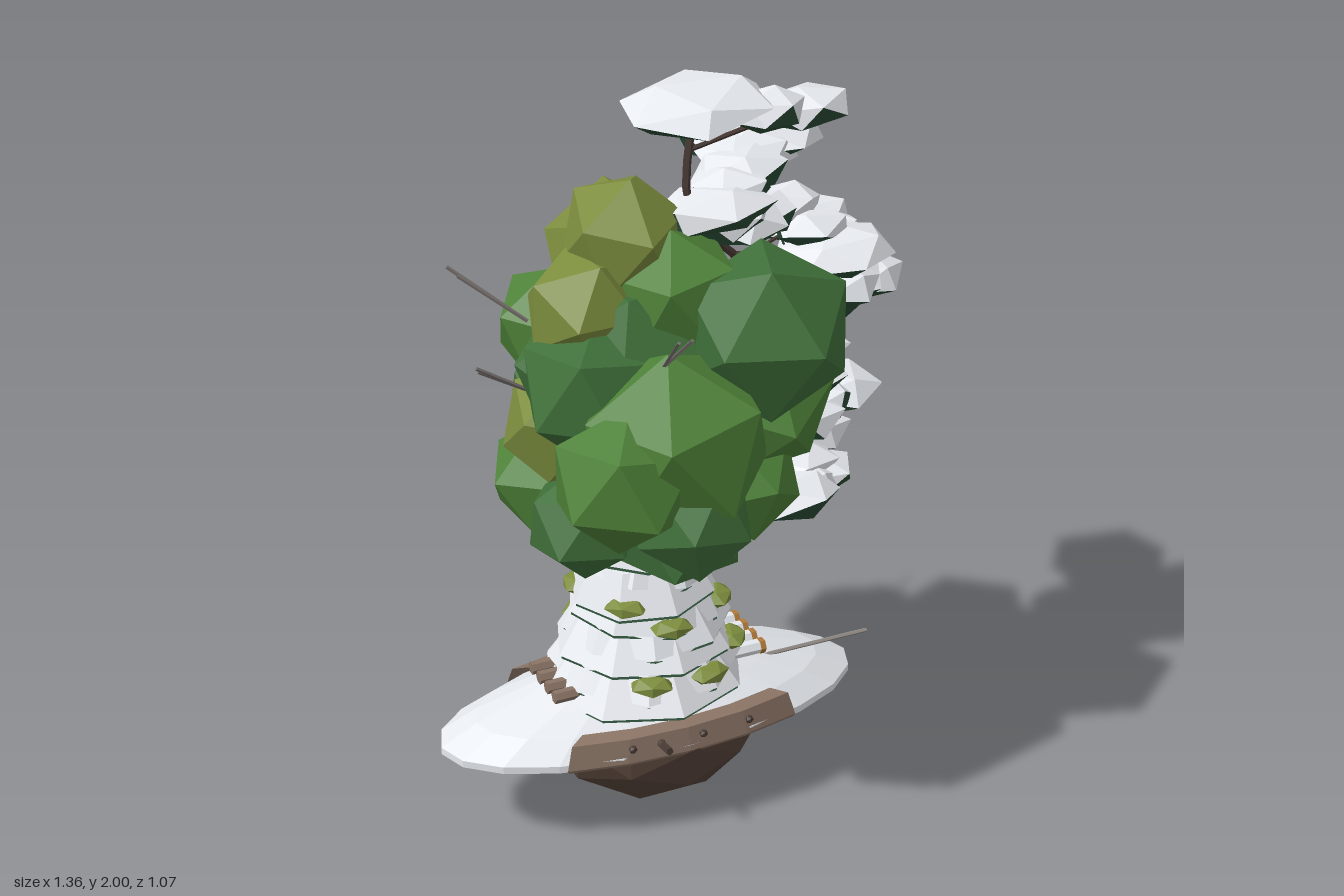
import * as THREE from 'three';

const V = (x, y, z) => new THREE.Vector3(x, y, z);
const mat = (color) => new THREE.MeshStandardMaterial({ color, flatShading: true, side: THREE.DoubleSide });
const M = {
  snow: mat(0xe6e9ee), pine: mat(0x2a4a35), green: mat(0x4f8239), dark: mat(0x40703a), olive: mat(0x7c8d3e),
  soil: mat(0x56443a), band: mat(0x8b7566), wood: mat(0x4a3b36), twig: mat(0x77706e), metal: mat(0x968f8b), amber: mat(0xb07a3c),
};

// Small seeded generator for natural variation
function seeded(seed) {
  let s = seed;
  return () => (s = (s * 16807) % 2147483647) / 2147483647;
}

// Flattened faceted pad: faces pointing up carry snow (material 0), the rest needles (material 1)
function padGeometry(w, h, d, rx, ry, rz) {
  const geo = new THREE.IcosahedronGeometry(1, 0);
  geo.rotateX(rx).rotateZ(rz).rotateY(ry).scale(w, h, d);
  const p = geo.attributes.position;
  const [a, b, c] = [V(), V(), V()];
  for (let i = 0; i < p.count; i += 3) {
    [a, b, c].forEach((v, k) => v.fromBufferAttribute(p, i + k));
    const up = b.sub(a).cross(c.sub(a)).y > 0;
    geo.addGroup(i, 3, up ? 0 : 1);
  }
  geo.computeVertexNormals();
  return geo;
}

export function createModel() {
  const root = new THREE.Group();
  const rand = seeded(4217);
  const vary = (a) => (rand() * 2 - 1) * a;

  const add = (name, geo, material, x = 0, y = 0, z = 0, parent = root) => {
    const mesh = new THREE.Mesh(geo, material);
    mesh.name = name;
    mesh.position.set(x, y, z);
    parent.add(mesh);
    return mesh;
  };
  const lathe = (pts, seg, start = 0, len = Math.PI * 2) =>
    new THREE.LatheGeometry(pts.map(([r, y]) => new THREE.Vector2(r, y)), seg, start, len);
  const rod = (name, a, b, r, material, sides = 5) => {
    const mesh = add(name, new THREE.CylinderGeometry(r, r, a.distanceTo(b), sides), material);
    mesh.position.copy(a).lerp(b, 0.5);
    mesh.quaternion.setFromUnitVectors(V(0, 1, 0), b.clone().sub(a).normalize());
  };

  // Rounded faceted base: the upper half is flattened
  const hull = new THREE.IcosahedronGeometry(1, 1);
  const hp = hull.attributes.position;
  for (let i = 0; i < hp.count; i++) hp.setY(i, Math.min(hp.getY(i), 0));
  add('base', hull, M.soil, -0.07, 0.26, 0).scale.set(0.32, 0.26, 0.27);

  // Oval rim plate
  const plate = new THREE.Group();
  plate.name = 'plate';
  plate.position.x = -0.08;
  plate.scale.z = 0.44;
  root.add(plate);
  add('plateTop', lathe([[0.6, 0.255], [0.6, 0.275], [0.5, 0.325], [0.36, 0.37], [0.28, 0.395], [0, 0.4]], 20), M.snow, 0, 0, 0, plate);
  add('plateUnderside', lathe([[0.6, 0.255], [0.4, 0.25], [0, 0.25]], 20), M.metal, 0, 0, 0, plate);
  for (const side of [0, Math.PI]) {
    add('sideBand', lathe([[0.6, 0.252], [0.607, 0.26], [0.575, 0.325], [0.5, 0.335]], 4, side - 0.58, 1.16), M.band, 0, 0, 0, plate);
  }

  // Rivets along both bands
  for (const s of [1, -1]) {
    for (const x of [-0.24, -0.16, -0.04, 0.1]) {
      const z = s * 0.262 * Math.sqrt(1 - ((x + 0.08) / 0.62) ** 2);
      add('rivet', new THREE.IcosahedronGeometry(0.012, 0), M.wood, x, 0.3, z);
    }
  }
  rod('sideStub', V(-0.16, 0.295, 0.24), V(-0.16, 0.305, 0.31), 0.011, M.wood);

  // Rows of short pipes at both ends, and one long pole
  for (const z of [-0.08, -0.027, 0.027, 0.08]) {
    rod('pipe', V(0.08, 0.405, z), V(0.215, 0.405, z), 0.02, M.snow, 6);
    rod('pipeEnd', V(0.21, 0.405, z), V(0.225, 0.405, z), 0.022, M.amber, 6);
    rod('pipe', V(-0.26, 0.4, z), V(-0.39, 0.4, z), 0.018, M.band, 6);
  }
  rod('pole', V(0.15, 0.365, 0.07), V(0.55, 0.365, 0.07), 0.006, M.metal);

  // Trunk of stacked, uneven skirts with dark undersides
  for (let i = 0; i < 9; i++) {
    const y = 0.375 + 0.045 * i + 0.0018 * i * i;
    const r = 0.28 - 0.019 * i + 0.0006 * i * i;
    const tier = new THREE.Group();
    tier.name = 'trunkTier';
    tier.position.set(-0.09 + vary(0.012), y, vary(0.012));
    tier.rotation.set(vary(0.08), rand() * 6, vary(0.08), 'ZXY');
    root.add(tier);
    add('snowSkirt', lathe([[r, 0], [r * 0.72, 0.11], [0, 0.11]], 8), M.snow, 0, 0, 0, tier);
    add('skirtUnderside', new THREE.ConeGeometry(r * 0.98, 0.02, 8), M.pine, 0, 0, 0, tier);
  }
  // One drooping skirt flap at the back
  add('skirtFlap', new THREE.ConeGeometry(0.09, 0.13, 4), M.snow, -0.09, 0.45, -0.22);

  // Moss tufts around the trunk: angle, height, distance
  for (const [a, y, r] of [[-0.35, 0.455, 0.23], [0.4, 0.45, 0.23], [-0.05, 0.6, 0.19], [-0.7, 0.66, 0.18],
    [1.1, 0.6, 0.19], [2.2, 0.6, 0.19], [1.2, 0.46, 0.23], [3.6, 0.47, 0.23], [4.2, 0.63, 0.18]]) {
    const tuft = add('moss', new THREE.IcosahedronGeometry(1, 0), M.olive, -0.09 + r * Math.sin(a), y, r * Math.cos(a));
    tuft.scale.set(0.062, 0.026, 0.045);
    tuft.rotation.y = a;
  }

  // Leafy crown by colour: x, y, z, radius
  const crown = {
    green: [[-0.13, 1.2, 0.29, 0.25], [-0.29, 1.14, 0.33, 0.19], [-0.3, 0.92, -0.18, 0.15], [0.06, 1.12, -0.25, 0.16],
      [0.14, 1.22, 0.18, 0.2], [-0.24, 1.33, -0.22, 0.16], [-0.04, 1.5, 0.1, 0.17], [0.08, 1.02, 0.22, 0.16]],
    dark: [[0.13, 1.43, 0.25, 0.22], [-0.1, 0.93, 0.23, 0.18], [-0.31, 0.93, 0.12, 0.15], [-0.27, 1.29, 0.1, 0.19],
      [-0.12, 1.2, -0.37, 0.175], [-0.2, 1.1, -0.22, 0.18], [-0.1, 1.25, 0, 0.32], [-0.13, 1.03, 0.37, 0.16]],
    olive: [[-0.14, 1.63, -0.01, 0.165], [-0.07, 1.49, -0.22, 0.19], [-0.26, 1.47, 0.02, 0.16], [-0.02, 0.83, -0.1, 0.12],
      [0.08, 1.1, -0.12, 0.18], [-0.3, 1.13, -0.05, 0.16], [0.08, 1.32, -0.22, 0.16], [0.04, 0.93, 0.08, 0.17]],
  };
  for (const [color, clusters] of Object.entries(crown)) {
    for (const [x, y, z, r] of clusters) {
      const leaf = add('leafCluster', new THREE.IcosahedronGeometry(r, 0), M[color], x, y, z);
      leaf.rotation.set(vary(0.6), rand() * 6, vary(0.6));
      leaf.scale.set(1.03 + vary(0.05), 1.03 + vary(0.05), 1.03 + vary(0.05));
    }
  }

  // Pine stem
  const stem = new THREE.CatmullRomCurve3([V(-0.05, 0.8, 0), V(0.2, 1.1, -0.02), V(0.22, 1.45, -0.03),
    V(0.04, 1.66, 0), V(0.03, 1.8, 0), V(0.05, 1.93, 0)]);
  add('pineStem', new THREE.TubeGeometry(stem, 20, 0.011, 5), M.wood);
  rod('branch', V(0.03, 1.83, 0), V(0.3, 1.88, -0.02), 0.007, M.wood);

  // Snowy pine pads from the top down: x, y, z, half width
  const pads = [
    [0.055, 1.945, 0, 0.2], [0.37, 1.885, -0.03, 0.125], [0.23, 1.92, 0.04, 0.1],
    [0.34, 1.735, -0.27, 0.21], [0.22, 1.72, -0.09, 0.13], [0.09, 1.68, 0.03, 0.16],
    [0.17, 1.63, 0.03, 0.12], [0.33, 1.62, -0.05, 0.1], [0.42, 1.53, 0.08, 0.15],
    [0.47, 1.5, -0.22, 0.14], [0.4, 1.43, 0.07, 0.14], [0.55, 1.39, -0.05, 0.13],
    [0.34, 1.33, 0.02, 0.14], [0.45, 1.28, -0.15, 0.13], [0.28, 1.21, 0.1, 0.15],
    [0.4, 1.19, -0.07, 0.13], [0.17, 1.16, 0.18, 0.11], [0.28, 1.1, 0.1, 0.15],
    [0.46, 1.09, -0.02, 0.14], [0.2, 1.05, 0.04, 0.14], [0.35, 1.03, -0.08, 0.13],
    [0.41, 0.94, -0.08, 0.14], [0.24, 0.9, 0.16, 0.15], [0.37, 0.89, 0.05, 0.13], [0.18, 0.88, 0.05, 0.12],
  ];
  const addPad = (x, y, z, w) => {
    const geo = padGeometry(w * 1.04, 0.056, w * 0.9, vary(0.7), rand() * 6, vary(0.7));
    add('pinePad', geo, [M.snow, M.pine], x, y, z).rotation.set(vary(0.1), 0, 0.06 + vary(0.08));
  };
  pads.forEach((pad, i) => {
    addPad(...pad);
    if (i < 3) return;
    const [x, y, z] = pad;
    const p = stem.getPointAt(THREE.MathUtils.clamp((y - 0.82) / 1.1, 0, 1));
    rod('branch', p, V(x, y - 0.01, z), 0.005, M.wood);
    // a smaller pad fills the gap to the next one down
    if (i < pads.length - 1) {
      const [mx, my, mz, mw] = pad.map((v, k) => (v + pads[i + 1][k]) / 2);
      addPad(mx, my, mz, mw * 0.85);
    }
  });

  // Bare twigs in pairs: root, tip, spread
  for (const [a, b, s] of [
    [V(-0.36, 1.4, -0.11), V(-0.53, 1.535, -0.22), V(0.02, -0.02, 0.02)],
    [V(-0.36, 1.22, -0.06), V(-0.52, 1.32, -0.06), V(0.02, -0.03, -0.04)],
    [V(-0.18, 1.42, 0.32), V(-0.2, 1.54, 0.45), V(0.035, 0, 0)],
    [V(-0.11, 1.32, -0.36), V(-0.15, 1.43, -0.46), V(0.1, 0, -0.02)],
  ]) {
    rod('twig', a, b, 0.005, M.twig, 4);
    rod('twig', a, b.clone().add(s), 0.005, M.twig, 4);
  }
  return root;
}
